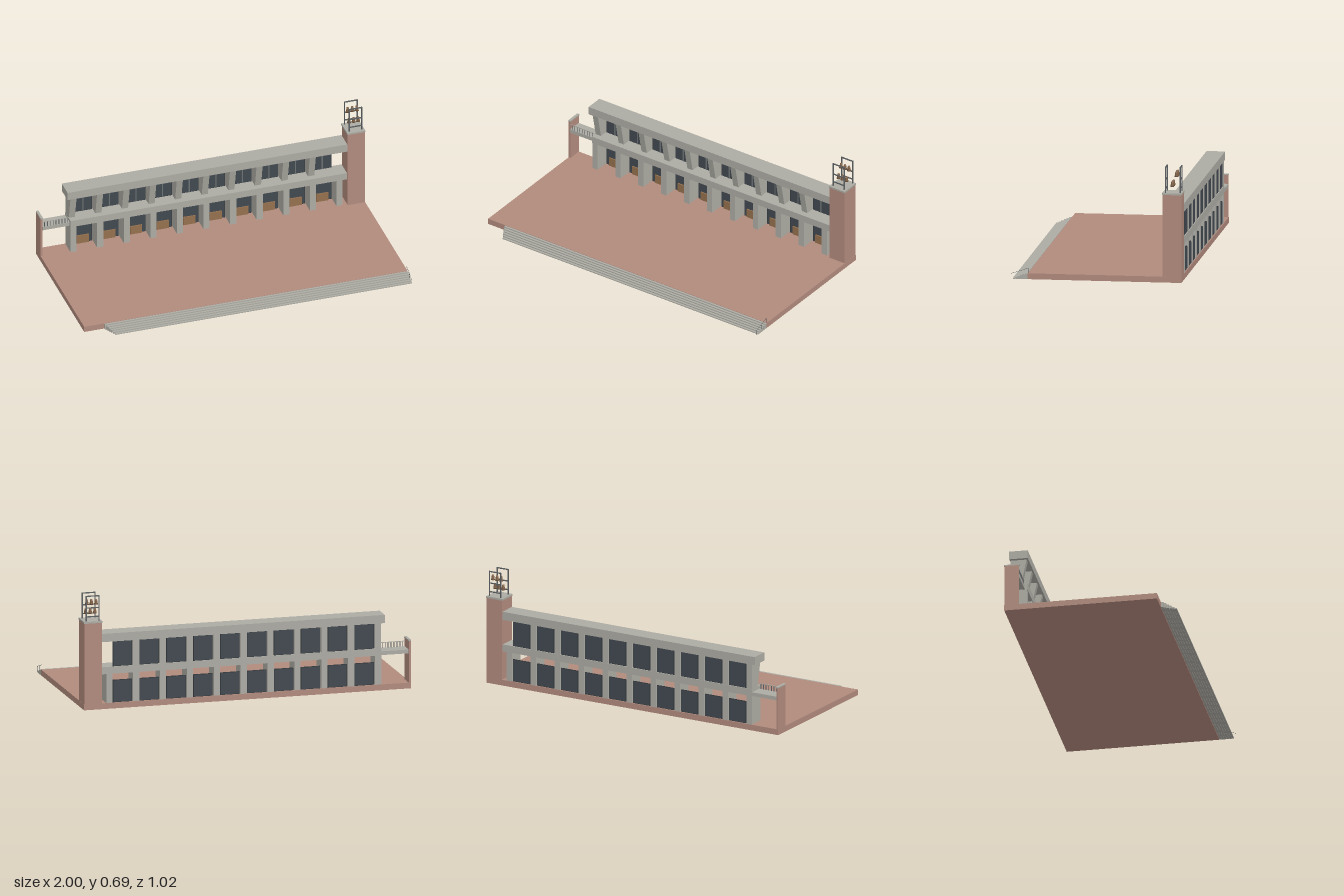
import * as THREE from 'three';

export function createModel() {
  const root = new THREE.Group();
  const mat = (name, color) => {
    const m = new THREE.MeshStandardMaterial({ color });
    m.name = name;
    return m;
  };
  const brick = mat('brick', 0xb18a7d);
  const concrete = mat('concrete', 0xacaba3);
  const glass = mat('dark glass', 0x41494f);
  const frame = mat('window frame', 0x33383d);
  const mullion = mat('mullion', 0x6c7173);
  const wood = mat('wood', 0x94704e);
  const bronze = mat('bronze', 0x7d5f45);
  const steel = mat('steel', 0x5c6062);

  const group = (name, parent = root) => {
    const g = new THREE.Group();
    g.name = name;
    parent.add(g);
    return g;
  };
  const add = (parent, name, geo, material) => {
    const mesh = new THREE.Mesh(geo, material);
    mesh.name = name;
    parent.add(mesh);
    return mesh;
  };
  // Box given by its lower and upper limits on each axis
  const box = (parent, name, material, x0, x1, y0, y1, z0, z1) => {
    const mesh = add(parent, name, new THREE.BoxGeometry(x1 - x0, y1 - y0, z1 - z0), material);
    mesh.position.set((x0 + x1) / 2, (y0 + y1) / 2, (z0 + z1) / 2);
  };
  // Thin round bar between two points
  const bar = (parent, name, a, b, r) => {
    const p = new THREE.Vector3(...a), q = new THREE.Vector3(...b);
    const d = q.clone().sub(p);
    const mesh = add(parent, name, new THREE.CylinderGeometry(r, r, d.length(), 6), steel);
    mesh.position.copy(p).add(q).multiplyScalar(0.5);
    mesh.quaternion.setFromUnitVectors(new THREE.Vector3(0, 1, 0), d.normalize());
  };

  // Paved terrace
  box(root, 'terrace', brick, -1, 1, 0, 0.035, -0.505, 0.408);

  // Front steps: separate blocks with a slanted left end
  const steps = group('frontSteps');
  const count = 6, tread = 0.0145;
  for (let i = 0; i < count; i++) {
    const z0 = 0.41 + i * tread;
    box(steps, 'step', concrete, -0.875 + i * 0.008, 1, 0, 0.0345 * (1 - i / count), z0, z0 + tread - 0.001);
  }

  // Sloping handrail at the right end of the steps
  const handrail = group('handrail');
  const railY = z => 0.065 - (z - 0.405) * 0.333;
  for (const z of [0.405, 0.457, 0.508]) {
    const foot = z < 0.42 ? 0.034 : z < 0.48 ? 0.015 : 0;
    bar(handrail, 'railPost', [0.995, foot, z], [0.995, railY(z), z], 0.001);
  }
  bar(handrail, 'railTop', [0.995, railY(0.405), 0.405], [0.995, railY(0.508), 0.508], 0.001);

  // Main slabs
  box(root, 'middleSlab', concrete, -0.82, 0.89, 0.21, 0.253, -0.503, -0.4);
  box(root, 'roofSlab', concrete, -0.84, 0.89, 0.405, 0.455, -0.505, -0.395);

  // Upper fins lean forward to the roof edge
  const finShape = new THREE.Shape([
    new THREE.Vector2(0.502, 0.253), new THREE.Vector2(0.437, 0.253),
    new THREE.Vector2(0.405, 0.405), new THREE.Vector2(0.502, 0.405),
  ]);
  const finGeo = new THREE.ExtrudeGeometry(finShape, { depth: 0.038, bevelEnabled: false });
  finGeo.rotateY(Math.PI / 2);
  finGeo.translate(-0.019, 0, 0);

  const pitch = 0.1645, firstColumn = -0.8, bays = 10;
  const columns = group('columns');
  for (let i = 0; i <= bays; i++) {
    const x = firstColumn + i * pitch;
    box(columns, 'lowerColumn', concrete, x - 0.019, x + 0.019, 0.035, 0.21, -0.503, -0.403);
    if (i < bays) add(columns, 'upperFin', finGeo, concrete).position.x = x;
  }

  // Windows: an outer frame, glass on both faces, mullions and a timber panel
  const windows = group('windows');
  const windowUnit = (name, x, y0, y1) => {
    const g = group(name, windows);
    const w = 0.059;
    box(g, 'frame', frame, x - w, x + w, y0, y1, -0.497, -0.489);
    for (const z of [-0.489, -0.499]) {
      box(g, 'glass', glass, x - w + 0.003, x + w - 0.003, y0 + 0.003, y1 - 0.003, z, z + 0.002);
    }
    return g;
  };
  for (let i = 0; i < bays; i++) {
    const x = firstColumn + (i + 0.5) * pitch + 0.001;
    const upper = windowUnit('upperWindow', x, 0.253, 0.405);
    box(upper, 'mullion', mullion, x - 0.0035, x + 0.0035, 0.255, 0.403, -0.488, -0.483);
    box(upper, 'transom', mullion, x - 0.057, x + 0.057, 0.345, 0.35, -0.488, -0.484);
    const lower = windowUnit('lowerWindow', x, 0.035, 0.17);
    box(lower, 'timberPanel', wood, x - 0.037, x + 0.037, 0.035, 0.089, -0.488, -0.48);
  }

  // Left balcony bridge, end wall and front balustrade
  const balcony = group('balcony');
  box(balcony, 'balconySlab', concrete, -0.987, -0.82, 0.212, 0.235, -0.503, -0.416);
  box(balcony, 'endWall', brick, -1, -0.987, 0.035, 0.288, -0.504, -0.418);
  box(balcony, 'endWallCap', concrete, -1, -0.984, 0.288, 0.295, -0.507, -0.416);
  box(balcony, 'balconyRail', concrete, -0.987, -0.82, 0.265, 0.269, -0.421, -0.418);
  for (let i = 0; i < 9; i++) {
    const x = -0.975 + i * 0.018;
    box(balcony, 'baluster', steel, x - 0.002, x + 0.002, 0.235, 0.265, -0.421, -0.418);
  }

  // Bell tower
  const tower = group('bellTower');
  box(tower, 'towerShaft', brick, 0.892, 0.999, 0.035, 0.525, -0.505, -0.392);
  box(tower, 'towerCap', concrete, 0.889, 1, 0.523, 0.534, -0.507, -0.389);
  for (const z of [-0.408, -0.495]) {
    const f = group('bellFrame', tower);
    for (const x of [0.906, 0.984]) {
      box(f, 'framePost', steel, x - 0.003, x + 0.003, 0.534, 0.689, z - 0.0035, z + 0.0035);
    }
    for (const y of [0.562, 0.615, 0.686]) {
      box(f, 'frameBar', steel, 0.909, 0.981, y - 0.003, y + 0.003, z - 0.003, z + 0.003);
    }
  }

  // Two rows of bells
  const profile = [[0, 0], [0.012, 0], [0.0105, 0.006], [0.008, 0.02], [0.0065, 0.03], [0, 0.032]];
  const bellGeo = new THREE.LatheGeometry(profile.map(p => new THREE.Vector2(...p)), 16);
  for (const [y, z] of [[0.57, -0.447], [0.63, -0.472]]) {
    for (const x of [0.918, 0.946, 0.974]) {
      add(tower, 'bell', bellGeo, bronze).position.set(x, y, z);
    }
  }
  return root;
}
